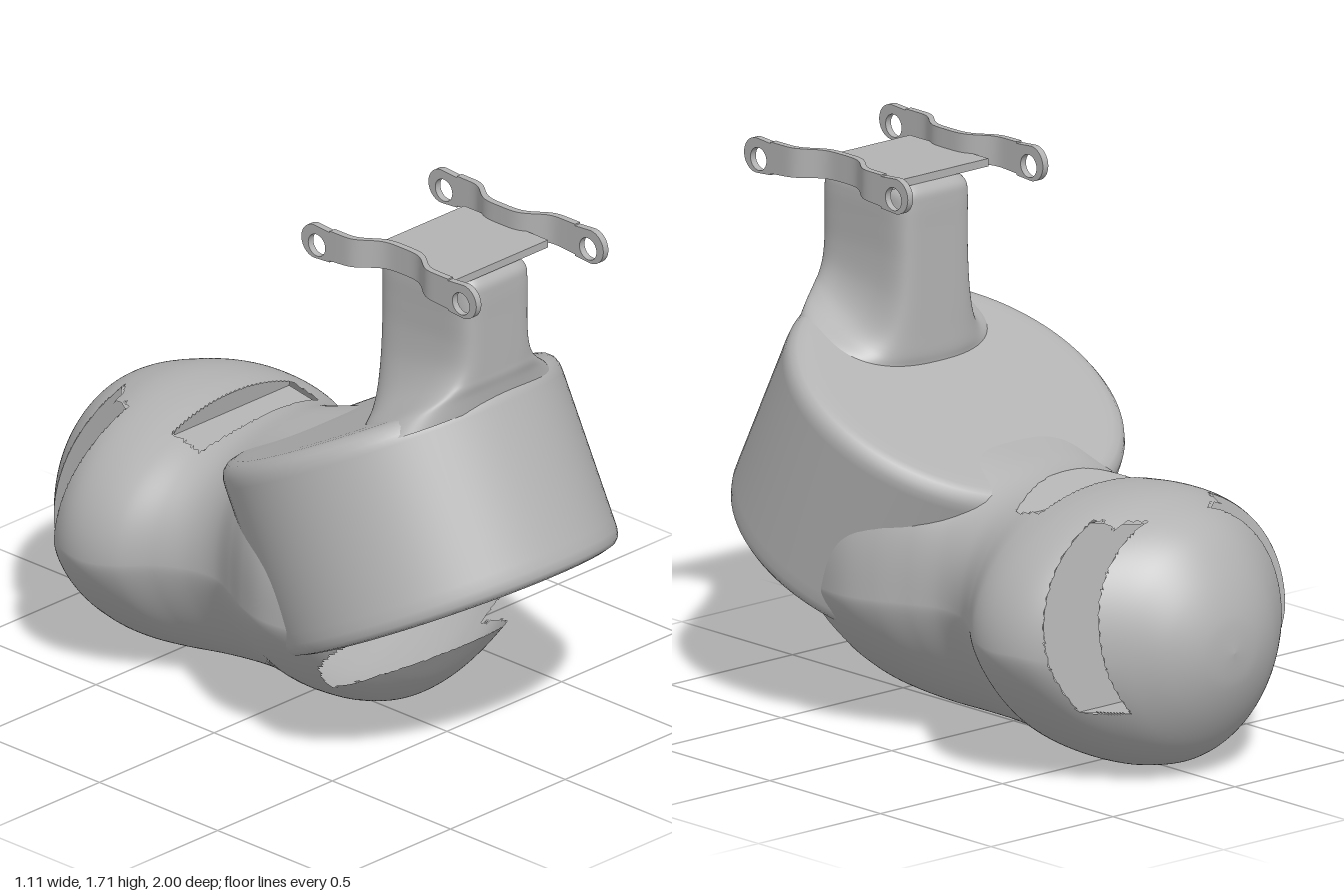
import * as THREE from 'three';

const grey = new THREE.MeshStandardMaterial({ color: 0xb2b2b2, side: THREE.DoubleSide });
grey.name = 'plain grey';
const OFF = -0.017; // the stalk and its clips sit slightly off centre

function part(name, geometry, parent) {
  const mesh = new THREE.Mesh(geometry, grey);
  mesh.name = name;
  parent.add(mesh);
  return mesh;
}

// Grid of points (rows x columns, columns closed); drop(centre) cuts openings
function loft(rows, cols, point, drop = () => false) {
  const pos = [], index = [], c = new THREE.Vector3();
  for (let i = 0; i <= rows; i++)
    for (let j = 0; j < cols; j++) pos.push(...point(i / rows, (j / cols) * Math.PI * 2));
  const tri = (...t) => {
    const mean = k => (pos[t[0] * 3 + k] + pos[t[1] * 3 + k] + pos[t[2] * 3 + k]) / 3;
    c.set(mean(0), mean(1), mean(2));
    if (!drop(c)) index.push(...t);
  };
  for (let i = 0; i < rows; i++)
    for (let j = 0; j < cols; j++) {
      const a = i * cols + j, b = i * cols + (j + 1) % cols;
      tri(a, b, b + cols);
      tri(a, b + cols, a + cols);
    }
  const g = new THREE.BufferGeometry();
  g.setAttribute('position', new THREE.Float32BufferAttribute(pos, 3));
  g.setIndex(index);
  g.computeVertexNormals();
  return g;
}

// Smooth interpolation through each column of a small table
function columns(table) {
  const curves = table[0].map((_, k) => new THREE.SplineCurve(table.map(r => new THREE.Vector2(r[k], 0))));
  return t => curves.map(c => c.getPoint(t).x);
}

const power = (v, p) => Math.sign(v) * Math.abs(v) ** p;

// Lower shell: z, half width, bottom, top, height of widest line
const shellAt = columns([
  [-1, 0, 0.42, 0.42, 0.42], [-0.985, 0.11, 0.31, 0.53, 0.42],
  [-0.94, 0.21, 0.2, 0.64, 0.42], [-0.87, 0.3, 0.1, 0.74, 0.42],
  [-0.79, 0.385, 0.04, 0.8, 0.42], [-0.69, 0.487, 0.01, 0.835, 0.42],
  [-0.6, 0.54, 0, 0.85, 0.43], [-0.5, 0.555, 0.003, 0.85, 0.43],
  [-0.4, 0.53, 0.01, 0.84, 0.44], [-0.3, 0.46, 0.016, 0.835, 0.45],
  [-0.2, 0.405, 0.02, 0.84, 0.45], [-0.1, 0.395, 0.025, 0.86, 0.45],
  [0, 0.435, 0.03, 0.88, 0.45], [0.1, 0.485, 0.035, 0.9, 0.45],
  [0.2, 0.515, 0.045, 0.88, 0.45], [0.3, 0.51, 0.06, 0.85, 0.45],
  [0.4, 0.48, 0.1, 0.8, 0.45], [0.5, 0.4, 0.19, 0.8, 0.45],
  [0.6, 0.32, 0.33, 0.8, 0.45],
]);

function shellPoint(t, a) {
  const [z, w, bottom, top, mid] = shellAt(t);
  const c = Math.cos(a), s = Math.sin(a);
  if (s < 0) { // boat-shaped belly, turning round towards the back of the dome
    const round = 0.38 + 0.62 * THREE.MathUtils.smoothstep(-z, 0.6, 0.95);
    return [w * c, mid - (mid - bottom) * (-round * s + (1 - round) * s * s), z];
  }
  // round dome, squarer hood where it meets the drum
  const p = 1 - 0.35 * THREE.MathUtils.smoothstep(z, -0.3, 0.05);
  return [w * power(c, p), mid + (top - mid) * power(s, p), z];
}

// Half width of the shell at a given z and height
function solve(f, lo, hi, goal) {
  for (let i = 0; i < 30; i++) {
    const m = (lo + hi) / 2;
    if (f(m) < goal) lo = m; else hi = m;
  }
  return (lo + hi) / 2;
}
function shellHalfWidth(z, y) {
  const t = solve(k => shellAt(k)[0], 0, 1, z);
  const a = solve(k => shellPoint(t, k)[1], -Math.PI / 2, Math.PI / 2, y);
  return shellPoint(t, a)[0];
}

// Walls of a cut that runs sideways through the shell, along a path of [z, y] points
function cutWalls(path, limit) {
  const pos = [], steps = 24;
  for (let i = 0; i + 1 < path.length; i++) {
    const edge = k => {
      const z = THREE.MathUtils.lerp(path[i][0], path[i + 1][0], k / steps);
      const y = THREE.MathUtils.lerp(path[i][1], path[i + 1][1], k / steps);
      const x = Math.min(limit, shellHalfWidth(z, y));
      return [[-x, y, z], [x, y, z]];
    };
    for (let k = 0; k < steps; k++) {
      const [a, b] = edge(k), [d, c] = edge(k + 1);
      for (const v of [a, b, c, a, c, d]) pos.push(...v);
    }
  }
  const g = new THREE.BufferGeometry();
  g.setAttribute('position', new THREE.Float32BufferAttribute(pos, 3));
  g.computeVertexNormals();
  return g;
}

const slotZ = y => -0.73 + (y - 0.53) * 0.185;
const hoodLipZ = y => -0.23 - (0.84 - y) * 0.85;

function shellOpening({ x, y, z }) {
  // slanted slots on both sides of the dome, narrowing near the top
  if (y > 0.25 && y < 0.805 && Math.abs(z - slotZ(y)) < 0.06 && (Math.abs(x) > 0.22 || z < -0.7)) return true;
  // slit across the top, under the lip of the hood
  if (z > -0.41 && z < hoodLipZ(y) && Math.abs(x) < 0.26 && y > 0.6) return true;
  // gap that leaves the upturned tongue at the front
  const back = 0.33 + 0.17 * Math.min(1, ((y - 0.2) / 0.23) ** 2);
  return z > back && y > 0.33 - (0.6 - z) * 0.48;
}

// Stalk: height, half width, half depth, slope towards the drum top, corner roundness
const stalkAt = columns([
  [1.1, 0.36, 0.19, 0.48, 0.85], [1.15, 0.31, 0.195, 0.48, 0.8], [1.185, 0.24, 0.2, 0.46, 0.62],
  [1.23, 0.193, 0.2, 0.36, 0.48], [1.3, 0.162, 0.2, 0.2, 0.38], [1.39, 0.149, 0.2, 0.05, 0.34],
  [1.48, 0.147, 0.2, 0, 0.33], [1.56, 0.147, 0.2, 0, 0.33], [1.6, 0.142, 0.195, 0, 0.33],
  [1.63, 0.12, 0.17, 0, 0.33],
]);

function stalkPoint(t, a) {
  const [y, hx, hz, slope, p] = stalkAt(t);
  const dz = -hz * power(Math.sin(a), p);
  return [hx * power(Math.cos(a), p) + OFF, y + slope * dz, 0.55 + dz];
}

// Sideways position of a strap along its length, pinched at the middle
const bend = z => 0.277 - 0.065 * Math.exp(-(((z - 0.545) / 0.125) ** 4));

// Flat strap between z 0.3 and 0.8, following the bend
function strapBand(side) {
  const g = new THREE.BoxGeometry(0.022, 0.1, 0.5, 1, 1, 50);
  const p = g.attributes.position;
  for (let i = 0; i < p.count; i++) {
    const z = p.getZ(i) + 0.55;
    const dip = 0.012 * Math.sin((Math.PI * (z - 0.3)) / 0.5);
    p.setXYZ(i, OFF + side * bend(z) + p.getX(i), 1.66 + p.getY(i) + (p.getY(i) < 0 ? dip : 0), z);
  }
  g.computeVertexNormals();
  return g;
}

// Holed rounded ear at the end of a strap
function strapEar() {
  const r = 0.055;
  const shape = new THREE.Shape();
  shape.moveTo(-0.065, -0.05);
  shape.lineTo(0, -r);
  shape.absarc(0, 0, r, -Math.PI / 2, Math.PI / 2, false);
  shape.lineTo(-0.065, 0.05);
  shape.holes.push(new THREE.Path().absarc(-0.01, -0.01, 0.036, 0, Math.PI * 2, true));
  const g = new THREE.ExtrudeGeometry(shape, { depth: 0.022, bevelEnabled: false, curveSegments: 24 });
  return g.translate(0, 0, -0.011);
}

export function createModel() {
  const model = new THREE.Group();
  model.name = 'housing';

  // dome, neck and front tongue in one shell, with the walls of its cuts
  part('domeShell', loft(220, 180, shellPoint, shellOpening), model);
  const corner = (y, d) => [slotZ(y) + d, y];
  const slot = [corner(0.8, 0.06), corner(0.25, 0.06), corner(0.25, -0.06), corner(0.8, -0.06), corner(0.8, 0.06)];
  part('sideSlotWalls', cutWalls(slot, 1), model);
  part('topSlitWalls', cutWalls([[-0.23, 0.835], [-0.3, 0.755], [-0.42, 0.775], [-0.41, 0.84]], 0.26), model);

  // tilted drum, open at the bottom
  const profile = [
    [0.41, 0.025], [0.418, 0.012], [0.43, 0.004], [0.45, 0], [0.505, 0], [0.525, 0.006],
    [0.538, 0.02], [0.543, 0.045], [0.543, 0.08], [0.543, 0.55], [0.541, 0.575],
    [0.532, 0.597], [0.515, 0.612], [0.49, 0.618], [0.45, 0.62], [0, 0.62],
  ].map(p => new THREE.Vector2(...p));
  const drum = part('drum', new THREE.LatheGeometry(profile, 96), model);
  drum.position.set(0, 0.45, 0.525);
  drum.rotation.x = -0.47;

  // sloping ceiling inside the drum
  const ceiling = part('drumCeiling', new THREE.CircleGeometry(0.42, 64), model);
  ceiling.position.set(0, 0.5, 0.535);
  ceiling.rotation.x = Math.PI / 2 - 0.377;
  ceiling.scale.y = 0.86;

  // stalk and top plate
  part('stalk', loft(60, 96, stalkPoint), model);
  const plate = part('topPlate', new THREE.BoxGeometry(0.44, 0.025, 0.355), model);
  plate.position.set(OFF, 1.638, 0.553);

  // pair of straps with an ear at each end
  for (const side of [-1, 1]) {
    const strap = new THREE.Group();
    strap.name = side > 0 ? 'leftStrap' : 'rightStrap';
    model.add(strap);
    part('strapBand', strapBand(side), strap);
    for (const [z, turn] of [[0.865, -1], [0.235, 1]]) {
      const ear = part(turn < 0 ? 'frontEar' : 'backEar', strapEar(), strap);
      ear.position.set(OFF + side * bend(z), 1.655, z);
      ear.rotation.y = (turn * Math.PI) / 2;
    }
  }

  return model;
}
